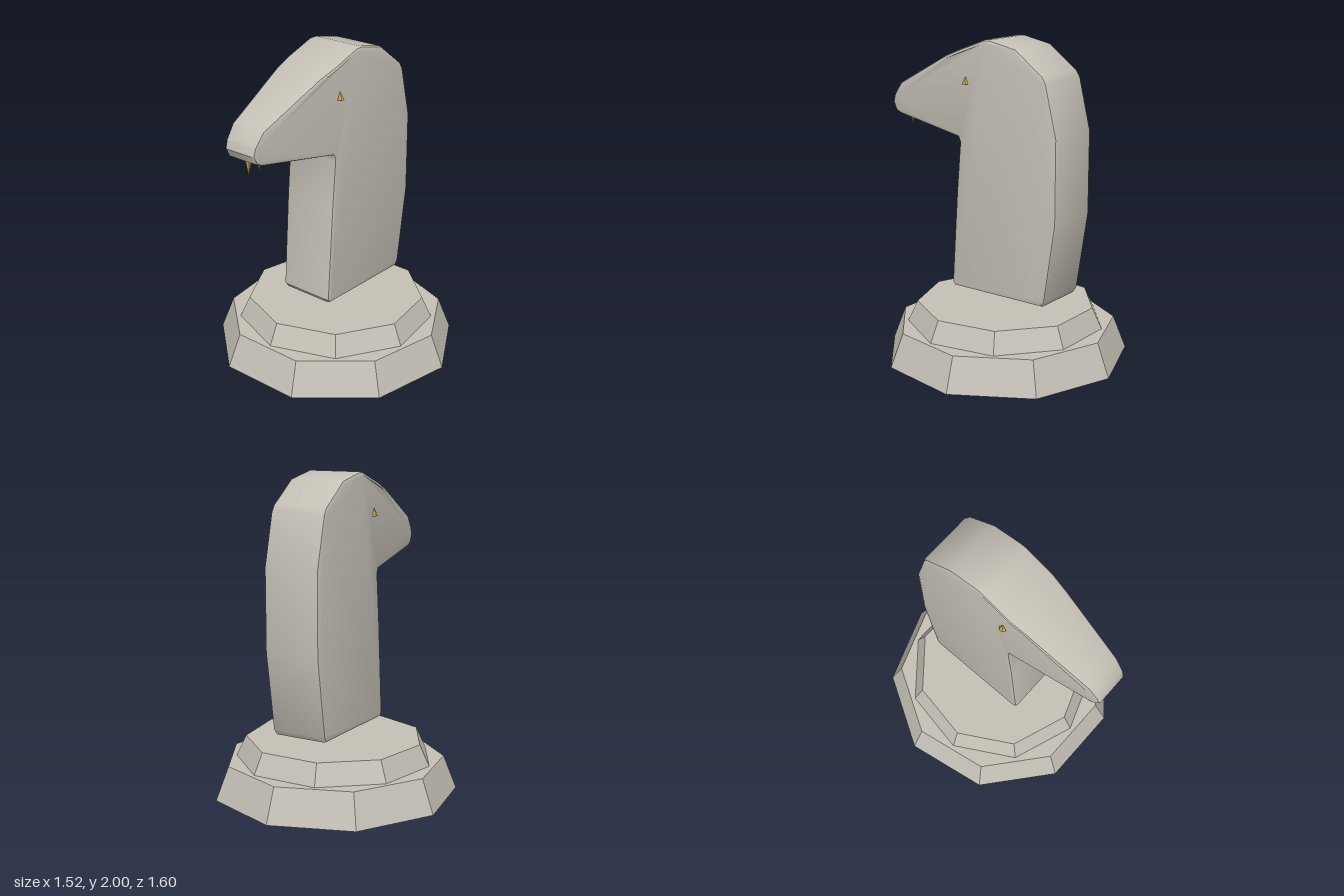
import * as THREE from 'three';
import { toCreasedNormals } from 'three/addons/utils/BufferGeometryUtils.js';

export function createModel() {
  const group = new THREE.Group();
  const stone = new THREE.MeshStandardMaterial({ name: 'warmGreyStone', color: 0xc4c0b6 });
  stone.flatShading = true;
  const smoothStone = stone; // one colour; the head brings its own normals
  const gold = new THREE.MeshStandardMaterial({ name: 'gold', color: 0xc4a845 });
  stone.flatShading = false;

  const add = (name, geometry, material, x, y, z) => {
    const mesh = new THREE.Mesh(geometry, material);
    mesh.name = name;
    mesh.position.set(x, y, z);
    group.add(mesh);
    return mesh;
  };

  // Two stacked nine-sided plinths, turned half a side from each other
  const plinth = (name, rTop, rBottom, y0, y1, turn) => {
    const g = new THREE.CylinderGeometry(rTop, rBottom, y1 - y0, 9).rotateY(turn);
    add(name, toCreasedNormals(g, 0.1), stone, 0, (y0 + y1) / 2, -0.028);
  };
  plinth('lowerPlinth', 0.69, 0.772, 0, 0.21, Math.PI);
  plinth('upperPlinth', 0.56, 0.622, 0.21, 0.34, 0);

  // Neck and head: side profile as (z, y), extruded across with a soft bevel
  const profile = [
    [0.245, 0.425], [0.262, 0.45], [0.22, 1.05], [0.192, 1.36], [0.205, 1.39],
    [0.74, 1.472], [0.775, 1.49], [0.8, 1.54], [0.785, 1.59], [0.725, 1.67],
    [0.31, 1.88], [0.2, 1.922], [0, 1.995], [-0.04, 1.997], [-0.23, 1.957],
    [-0.42, 1.815], [-0.445, 1.775], [-0.522, 1.46], [-0.522, 0.95],
    [-0.448, 0.46], [-0.425, 0.425],
  ];
  const bevel = 0.02;
  const head = new THREE.ExtrudeGeometry(
    new THREE.Shape(profile.map(([z, y]) => new THREE.Vector2(z, y))),
    { depth: 0.33, bevelEnabled: true, bevelSize: bevel, bevelThickness: bevel,
      bevelOffset: -bevel, bevelSegments: 2, steps: 1 });
  head.translate(0, 0, -0.165).rotateY(-Math.PI / 2);

  // Narrow the snout towards its tip
  const p = head.attributes.position;
  for (let i = 0; i < p.count; i++) {
    if (p.getY(i) < 1.38) continue;
    const t = THREE.MathUtils.clamp((p.getZ(i) - 0.2) / 0.6, 0, 1);
    p.setX(i, p.getX(i) * (1 - 0.4 * t));
  }
  add('neckAndHead', toCreasedNormals(head, 0.6), smoothStone, 0, 0, 0);

  // Single row of teeth, shrinking towards the throat
  [0.09, 0.076, 0.063, 0.05, 0.042, 0.032].forEach((length, i) => {
    const z = 0.73 - i * 0.084;
    const jawY = 1.39 + (z - 0.2) * 0.155;
    const g = new THREE.ConeGeometry(length * 0.24, length + 0.01, 6).rotateX(Math.PI);
    add('tooth' + (i + 1), toCreasedNormals(g, 0.3), gold, 0, jawY + 0.005 - length / 2, z);
  });

  // Small pointed eyes set into the cheeks
  for (const side of [-1, 1]) {
    const g = new THREE.ConeGeometry(0.024, 0.05, 6);
    add(side > 0 ? 'leftEye' : 'rightEye', toCreasedNormals(g, 0.3), gold, side * 0.178, 1.745, 0.145);
  }

  return group;
}
